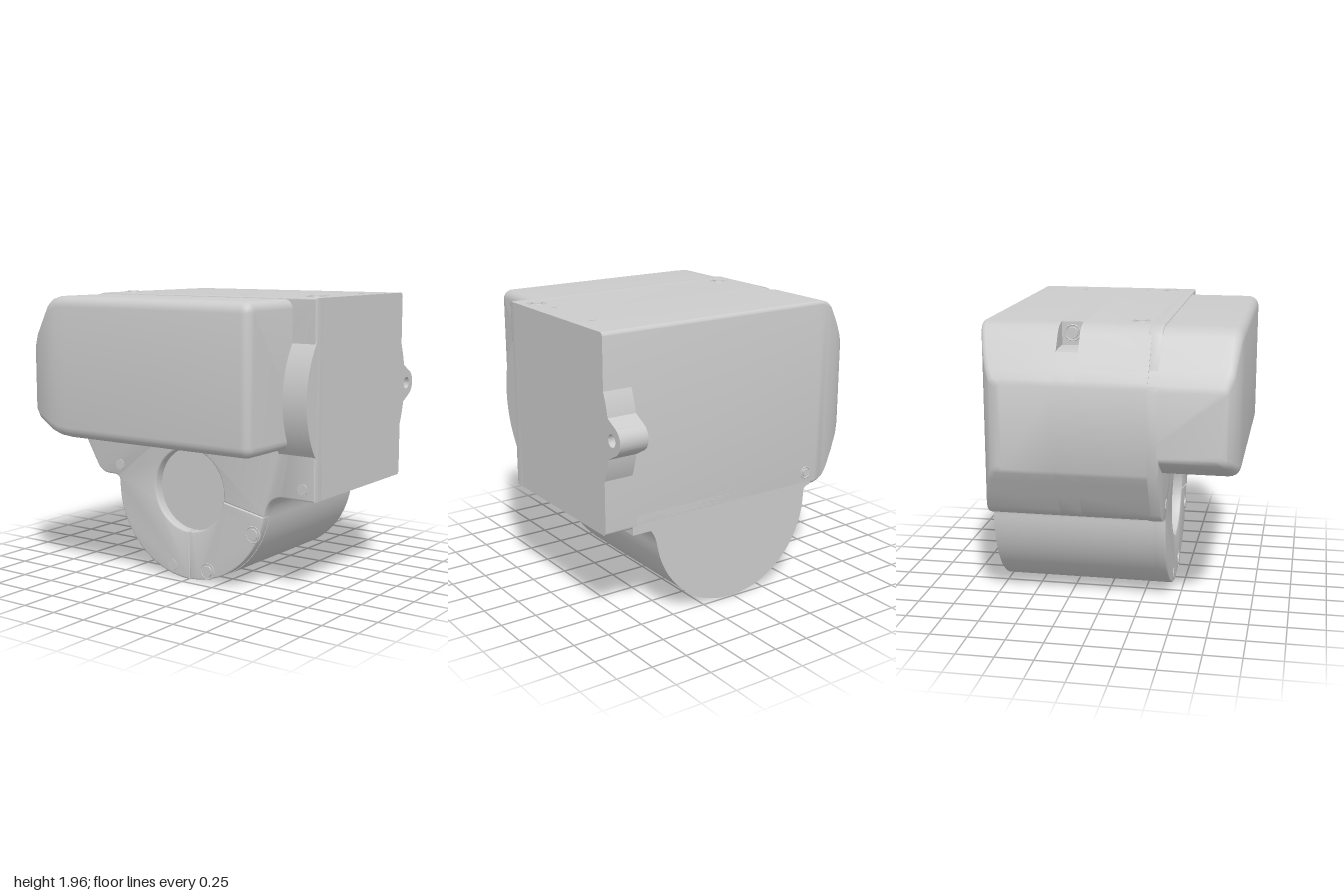
import * as THREE from 'three';
import { toCreasedNormals } from 'three/addons/utils/BufferGeometryUtils.js';

const material = new THREE.MeshStandardMaterial({ color: 0xcccccc });
const BACK = -0.74, SPLIT = 0.36, FACE = 0.43;
const CX = 0.01, CY = 0.615, R = 0.615;          // barrel
const HY = 0.627, HR = 0.288;                    // round opening
const CUT = -0.16;                               // angle of the slanted seam

function add(group, name, geometry, x = 0, y = 0, z = 0) {
  const mesh = new THREE.Mesh(toCreasedNormals(geometry, 0.6), material);
  mesh.name = name;
  mesh.position.set(x, y, z);
  group.add(mesh);
  return mesh;
}

// Rounded rectangle in the z-y plane, counter-clockwise seen from +x
function ring({ x, yb, yt, zb, zf, rb, rf }) {
  const pts = [];
  const corner = (z, y, r, sz, sy, start) => {
    const n = r > 0 ? 5 : 0;
    for (let i = 0; i <= n; i++) {
      const a = start + (n ? (i / n) * Math.PI / 2 : 0);
      pts.push(r > 0
        ? [x, y + sy * r + r * Math.sin(a), z + sz * r - r * Math.cos(a)]
        : [x, y, z]);
    }
  };
  corner(zb, yb, rb, 1, 1, -Math.PI / 2);
  corner(zb, yt, rb, 1, -1, 0);
  corner(zf, yt, rf, -1, -1, Math.PI / 2);
  corner(zf, yb, rf, -1, 1, Math.PI);
  return pts;
}

// Skin over sections placed along x, closed at both ends
function loft(sections) {
  const rings = sections.map(ring), n = rings[0].length, pos = [];
  const tri = (...p) => p.forEach(v => pos.push(...v));
  for (let i = 0; i < rings.length - 1; i++) {
    for (let j = 0; j < n; j++) {
      const k = (j + 1) % n, a = rings[i], b = rings[i + 1];
      tri(a[j], a[k], b[j]);
      tri(a[k], b[k], b[j]);
    }
  }
  const first = rings[0], last = rings[rings.length - 1];
  for (let j = 1; j < n - 1; j++) {
    tri(first[0], first[j + 1], first[j]);
    tri(last[0], last[j], last[j + 1]);
  }
  const g = new THREE.BufferGeometry();
  g.setAttribute('position', new THREE.Float32BufferAttribute(pos, 3));
  return g;
}

// Right side of the barrel, flaring into the housing
function rightFlare(s) {
  s.bezierCurveTo(0.635, 0.6, 0.67, 0.665, 0.77, 0.665);
}
// Left side of the housing running down into the barrel
function leftFlare(s) {
  s.lineTo(-0.66, 0.665);
  s.quadraticCurveTo(CX - R, 0.665, CX - R, CY);
}

// Extrusion along x of a shape drawn in z-y, ending flush at x = 1
function sideExtrude(group, name, shape, depth) {
  const g = new THREE.ExtrudeGeometry(shape, { depth, bevelEnabled: false, curveSegments: 32 });
  add(group, name, g, 1).rotation.y = -Math.PI / 2;
}

// Flat screw head with a surrounding rim; axis along z before rotation
function screw(group, name, x, y, z, rx = 0, ry = 0, size = 1) {
  const s = new THREE.Group();
  s.name = name;
  add(s, 'screwHead', new THREE.CylinderGeometry(0.038 * size, 0.042 * size, 0.02, 24)).rotation.x = Math.PI / 2;
  add(s, 'screwRim', new THREE.TorusGeometry(0.055 * size, 0.005, 8, 32));
  s.position.set(x, y, z);
  s.rotation.set(rx, ry, 0);
  group.add(s);
}

export function createModel() {
  const model = new THREE.Group();
  model.name = 'motorHousing';

  // Main housing: x, bottom, top, back
  const stations = [
    [-1, 1.05, 1.59, -0.59], [-0.985, 1.02, 1.63, -0.64], [-0.95, 0.96, 1.69, -0.67],
    [-0.89, 0.86, 1.79, -0.70], [-0.82, 0.74, 1.90, -0.722], [-0.785, 0.70, 1.93, -0.73],
    [-0.74, 0.675, 1.945, -0.737], [-0.7, 0.665, 1.95, BACK], [1, 0.665, 1.95, BACK],
  ];
  // Three slices; the middle one is lowered at the left for the pocket
  const slices = [[BACK, -0.23, 0.025], [-0.23, -0.09, 0], [-0.09, SPLIT, 0]];
  slices.forEach(([z0, z1, rb], i) => {
    const list = [];
    stations.forEach(([x, yb, yt, zb]) => {
      const s = { x, yb, yt, zb: i ? z0 : zb, zf: z1, rb, rf: 0 };
      if (i === 1 && x <= -0.7) list.push({ ...s, yt: Math.min(yt, 1.8) });
      if (i !== 1 || x >= -0.7) list.push(s);
    });
    add(model, 'housingSlice', loft(list));
  });
  screw(model, 'pocketScrew', -0.705, 1.88, -0.16, 0, -Math.PI / 2, 0.9);

  // Barrel below the housing
  const barrel = new THREE.Shape();
  barrel.absarc(CX, CY, R, Math.PI, 2 * Math.PI + CUT, false);
  rightFlare(barrel);
  barrel.lineTo(0.77, 0.75);
  barrel.lineTo(-0.66, 0.75);
  leftFlare(barrel);
  add(model, 'barrel', new THREE.ExtrudeGeometry(barrel,
    { depth: SPLIT - BACK, bevelEnabled: false, curveSegments: 48 }), 0, 0, BACK);
  add(model, 'rearLip', new THREE.BoxGeometry(0.14, 0.06, 0.21), 0.73, 0.655, -0.635);

  // Front plate around the round opening
  const plate = new THREE.Shape();
  plate.moveTo(CX + R * Math.cos(CUT), CY + R * Math.sin(CUT));
  rightFlare(plate);
  plate.lineTo(1, 0.665);
  plate.lineTo(1, 1.95);
  plate.lineTo(-0.7, 1.95);
  plate.quadraticCurveTo(-0.79, 1.945, -0.82, 1.9);
  plate.lineTo(-1, 1.59);
  plate.lineTo(-1, 1.05);
  plate.lineTo(-0.82, 0.74);
  plate.quadraticCurveTo(-0.78, 0.665, -0.7, 0.665);
  leftFlare(plate);
  plate.absarc(CX, CY, R, Math.PI, 1.5 * Math.PI, false);
  plate.absarc(CX, HY, HR, 1.5 * Math.PI, CUT, true);
  const plateOptions = bevel => ({
    depth: FACE - SPLIT, bevelThickness: bevel, bevelSize: bevel, bevelOffset: -bevel,
    bevelSegments: 3, curveSegments: 40,
  });
  add(model, 'frontPlate', new THREE.ExtrudeGeometry(plate, plateOptions(0.012)), 0, 0, SPLIT - 0.012);

  // Separate quarter cover of the front plate
  const cover = new THREE.Shape();
  cover.absarc(CX, CY, R - 0.004, -Math.PI / 2 + 0.007, CUT - 0.007, false);
  cover.absarc(CX, HY, HR, CUT - 0.014, -Math.PI / 2 + 0.014, true);
  add(model, 'quarterCover', new THREE.ExtrudeGeometry(cover, plateOptions(0.008)), 0, 0, SPLIT - 0.012);

  // Front box: x, bottom, top, front, edge radius
  const box = [
    [-1, 1.16, 1.58, 0.81, 0.03], [-0.985, 1.13, 1.62, 0.85, 0.04], [-0.93, 1.09, 1.71, 0.885, 0.05],
    [-0.82, 1.025, 1.895, 0.91, 0.07], [-0.785, 1.012, 1.922, 0.915, 0.07],
    [-0.73, 0.998, 1.938, 0.92, 0.07], [-0.64, 0.99, 1.94, 0.92, 0.07],
  ];
  for (let i = 0; i <= 5; i++) {
    const a = i * Math.PI / 10, d = 0.06 * (1 - Math.cos(a));
    box.push([0.765 + 0.06 * Math.sin(a), 0.99 + d, 1.94 - d, 0.92 - d, 0.07 - d]);
  }
  add(model, 'frontBox', loft(box.map(([x, yb, yt, zf, rf]) => ({ x, yb, yt, zb: 0.3, zf, rb: 0, rf }))));

  // Curved bulge on the front right
  const bulge = new THREE.Shape();
  bulge.absarc(-0.09, 1.31, 0.63, -0.66, 0.66, false);
  sideExtrude(model, 'frontBulge', bulge, 0.27);

  // Rear bulge with a drilled mounting ear
  const ear = new THREE.Shape();
  ear.absarc(-0.09, 1.31, 0.709, Math.PI - 0.46, Math.PI - 0.185, false);
  ear.lineTo(-0.875, 1.393);
  ear.absarc(-0.83, 1.31, 0.094, Math.PI - 1.07, Math.PI + 1.07, false);
  ear.absarc(-0.09, 1.31, 0.709, Math.PI + 0.185, Math.PI + 0.46, false);
  const earHole = new THREE.Path();
  earHole.absarc(-0.83, 1.31, 0.041, 0, 2 * Math.PI, true);
  ear.holes.push(earHole);
  sideExtrude(model, 'mountingEar', ear, 0.2);

  // Screws on the front, top and back
  for (const [x, y] of [[-0.6, 0.74], [0.91, 0.74], [0.53, 0.39], [-0.135, 0.08], [0.16, 0.08]])
    screw(model, 'frontScrew', x, y, FACE - 0.006);
  for (const x of [-0.6, 0.89]) screw(model, 'topScrew', x, 1.95, 0.26, -Math.PI / 2);
  screw(model, 'backScrew', -0.62, 0.76, BACK, 0, Math.PI, 0.7);

  // Small pins on the top
  for (const z of [-0.4, 0.08])
    add(model, 'topPin', new THREE.CylinderGeometry(0.018, 0.018, 0.01, 16), 0.86, 1.948, z);

  return model;
}
